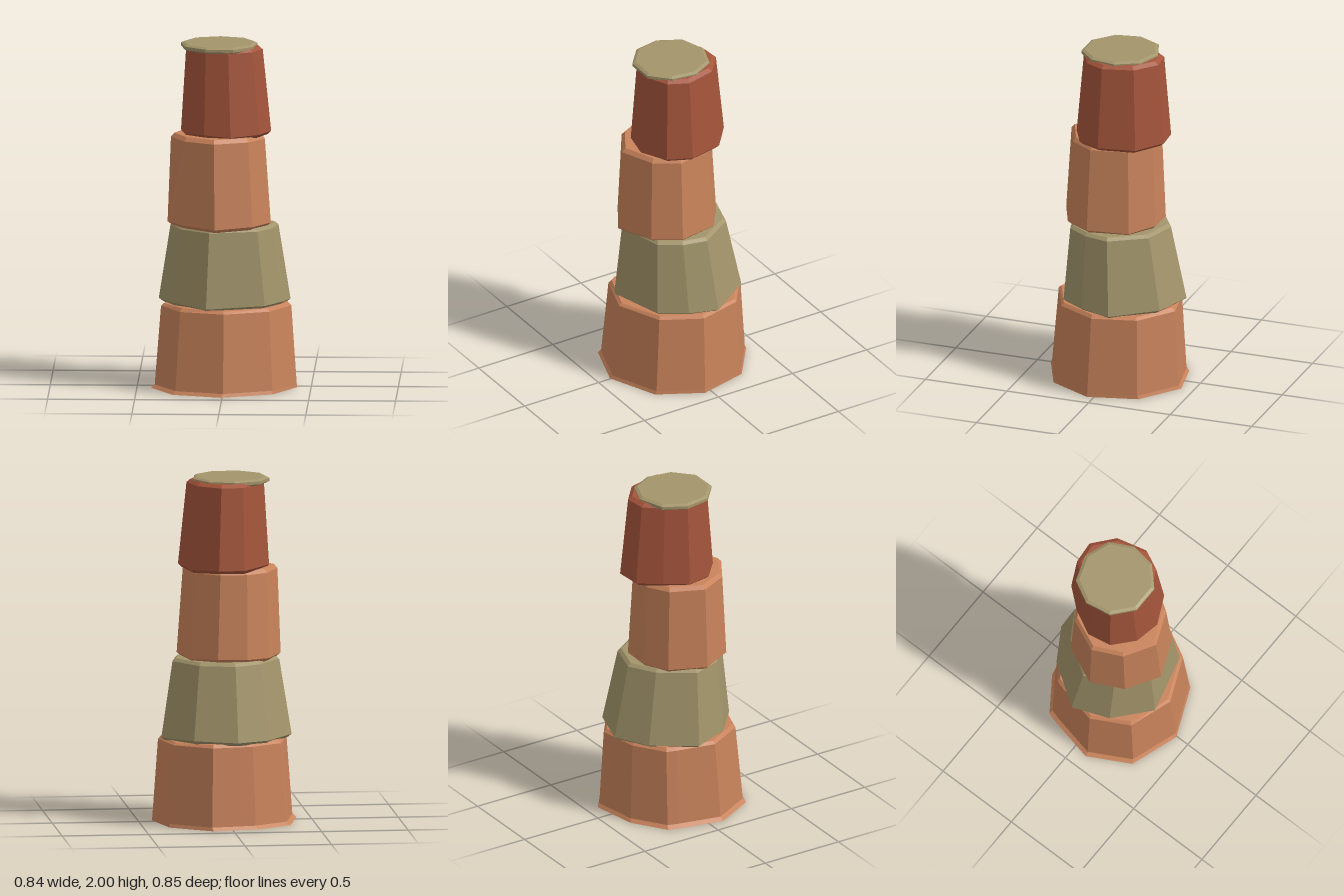
import * as THREE from 'three';

const mat = (name, color) => {
  const m = new THREE.MeshStandardMaterial({ color, flatShading: true });
  m.name = name;
  return m;
};

// Faceted rock: an irregular outline (clockwise from above) stacked as rings
// of [height, scale, xShift, zShift, height wobble], closed at both ends.
function rock(name, outline, levels, material) {
  const n = outline.length, pos = [];
  const rings = levels.map(([y, s, dx = 0, dz = 0, wobble = 0]) =>
    outline.map(([x, z], i) => [x * s + dx, y + wobble * Math.sin(i * 2.3), z * s + dz]));
  const tri = (a, b, c) => pos.push(...a, ...b, ...c);
  const middle = (ring) => [0, 1, 2].map((k) => ring.reduce((sum, p) => sum + p[k], 0) / n);
  const first = rings[0], last = rings[rings.length - 1];
  const low = middle(first), high = middle(last);
  for (let i = 0; i < n; i++) {
    const j = (i + 1) % n;
    for (let r = 0; r + 1 < rings.length; r++) {
      const a = rings[r], b = rings[r + 1];
      tri(a[j], a[i], b[i]);
      tri(a[j], b[i], b[j]);
    }
    tri(low, first[i], first[j]);
    tri(high, last[j], last[i]);
  }
  const g = new THREE.BufferGeometry();
  g.setAttribute('position', new THREE.Float32BufferAttribute(pos, 3));
  g.computeVertexNormals();
  const mesh = new THREE.Mesh(g, material);
  mesh.name = name;
  return mesh;
}

export function createModel() {
  const clay = mat('terracotta', 0xc9835b);
  const olive = mat('olive sandstone', 0xa3956b);
  const red = mat('red rock', 0xa5553b);
  const group = new THREE.Group();
  group.name = 'rockPillar';

  group.add(
    // Wide base with a slightly flared foot
    rock('baseRock', [
      [-0.15, -0.375], [0.115, -0.425], [0.35, -0.25], [0.42, 0.04], [0.285, 0.295],
      [-0.005, 0.42], [-0.29, 0.325], [-0.42, 0.085], [-0.365, -0.175], [-0.345, -0.24],
    ], [[0, 1], [0.02, 0.97, 0.01], [0.475, 0.89, 0.012, -0.008], [0.492, 0.85, 0.012, -0.008, 0.004]], clay),

    // Second tier, strongly tapered
    rock('lowerRock', [
      [-0.03, -0.403], [0.217, -0.33], [0.378, -0.075], [0.34, 0.1], [0.24, 0.25],
      [-0.095, 0.335], [-0.3, 0.165], [-0.378, -0.05], [-0.217, -0.29],
    ], [[0.485, 0.93, 0, 0, 0.006], [0.505, 1, 0, 0, 0.008], [0.935, 0.82, 0, 0.02], [0.952, 0.77, 0, 0.02]], olive),

    // Third tier, nearly upright
    rock('upperRock', [
      [-0.1, -0.25], [0.07, -0.25], [0.22, -0.14], [0.27, 0.097], [0.17, 0.25],
      [-0.045, 0.34], [-0.235, 0.226], [-0.325, 0.04], [-0.235, -0.17],
    ], [[0.945, 0.92, 0, 0, 0.005], [0.965, 1, 0, 0, 0.005], [1.455, 0.91, -0.01], [1.478, 0.85, -0.01]], clay),

    // Top tier
    rock('topRock', [
      [-0.08, -0.29], [0.07, -0.303], [0.217, -0.18], [0.27, 0.03], [0.205, 0.165],
      [0.043, 0.243], [-0.11, 0.215], [-0.225, 0.11], [-0.25, -0.03], [-0.18, -0.17],
    ], [[1.468, 0.92, 0, 0, 0.005], [1.488, 1, 0, 0, 0.005], [1.965, 0.85, -0.008, -0.003], [1.983, 0.77, -0.008, -0.003]], red),

    // Thin bevelled slab on the summit
    rock('capSlab', [
      [-0.027, -0.228], [0.12, -0.175], [0.19, -0.04], [0.167, 0.106], [0.06, 0.208],
      [-0.104, 0.208], [-0.224, 0.106], [-0.25, -0.045], [-0.18, -0.177],
    ], [[1.966, 0.95], [1.974, 1], [1.991, 1], [2, 0.92, -0.002]], olive),
  );
  return group;
}
